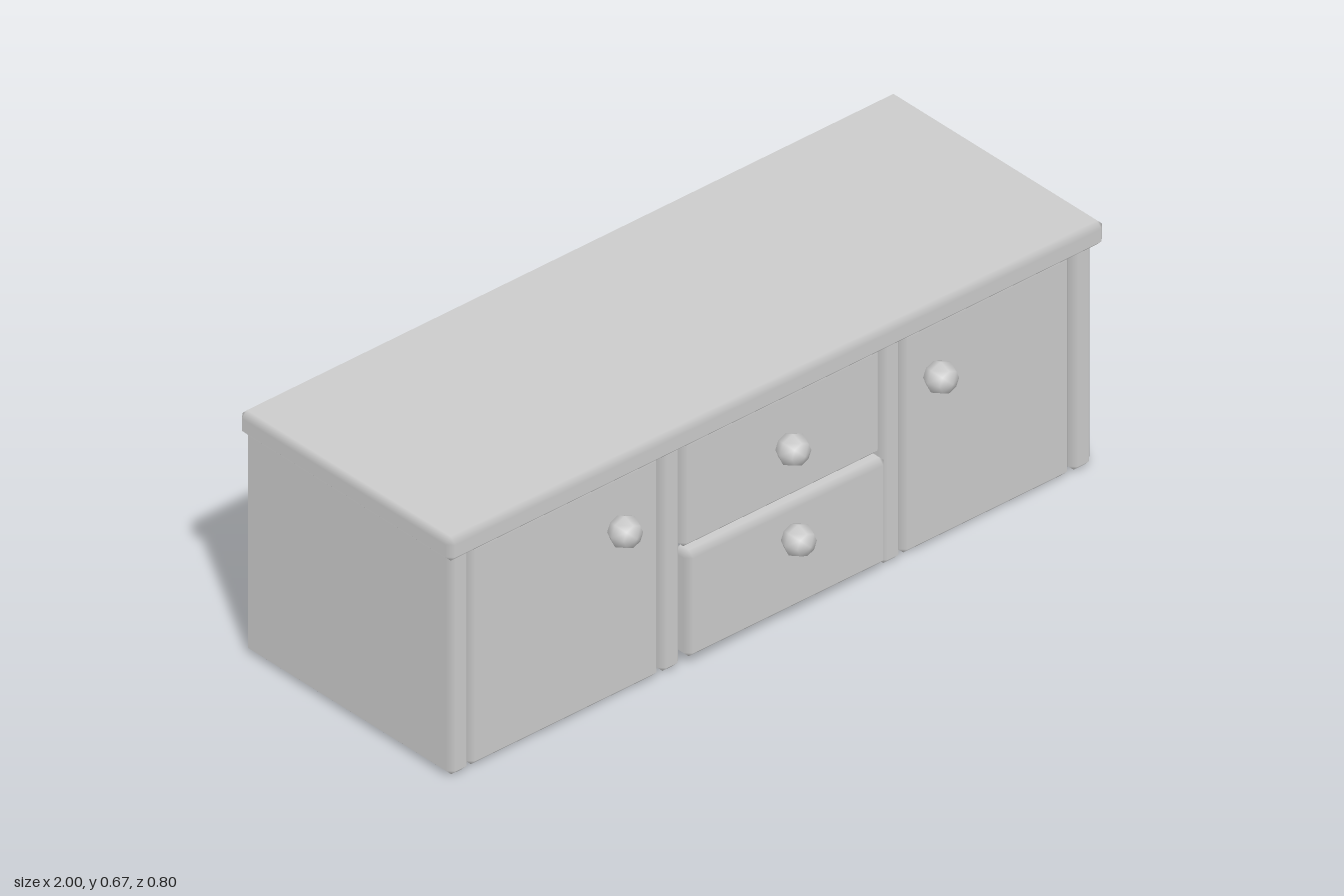
import * as THREE from 'three';
import { ConvexGeometry } from 'three/addons/geometries/ConvexGeometry.js';

const material = new THREE.MeshStandardMaterial({ color: 0xcccccc });
const BEVEL = 0.016;

// Chamfered box given by its min/max on each axis; flat faces with softly shaded bevels
function bevelBox(name, [x0, x1], [y0, y1], [z0, z1]) {
  const half = [(x1 - x0) / 2, (y1 - y0) / 2, (z1 - z0) / 2];
  const points = [];
  for (let axis = 0; axis < 3; axis++)
    for (const sx of [-1, 1]) for (const sy of [-1, 1]) for (const sz of [-1, 1]) {
      const p = [sx, sy, sz].map((s, i) => s * (half[i] - (i === axis ? 0 : BEVEL)));
      points.push(new THREE.Vector3(...p));
    }
  const geometry = new ConvexGeometry(points);

  // Each corner takes the normal of the flat face it lies on
  const pos = geometry.attributes.position;
  const normal = geometry.attributes.normal;
  for (let i = 0; i < pos.count; i++) {
    const n = half.map((h, k) => {
      const c = pos.getComponent(i, k);
      return Math.abs(c) > h - BEVEL / 2 ? Math.sign(c) : 0;
    });
    normal.setXYZ(i, ...n);
  }

  const mesh = new THREE.Mesh(geometry, material);
  mesh.name = name;
  mesh.position.set((x0 + x1) / 2, (y0 + y1) / 2, (z0 + z1) / 2);
  return mesh;
}

// Low-sided round knob with its pole facing forward
function knob(name, x, y, z) {
  const geometry = new THREE.SphereGeometry(0.042, 8, 4).rotateX(Math.PI / 2);
  const mesh = new THREE.Mesh(geometry, material);
  mesh.name = name;
  mesh.position.set(x, y, z);
  return mesh;
}

export function createModel() {
  const group = new THREE.Group();
  group.name = 'sideboard';

  // Worktop
  group.add(bevelBox('top', [-1, 1], [0.6, 0.666], [-0.397, 0.333]));

  // Upright side panels and dividers
  const uprights = [
    ['rightSide', -0.95], ['rightDivider', -0.307],
    ['leftDivider', 0.365], ['leftSide', 0.945],
  ];
  for (const [name, x] of uprights)
    group.add(bevelBox(name, [x - 0.032, x + 0.032], [0, 0.612], [-0.397, 0.315]));

  // Doors and drawer fronts: name, x range, y range, front z, knob x, knob y
  const fronts = [
    ['rightDoor', [-0.921, -0.338], [0, 0.607], 0.313, -0.472, 0.465],
    ['leftDoor', [0.396, 0.912], [0, 0.607], 0.313, 0.49, 0.465],
    ['upperDrawer', [-0.274, 0.336], [0.311, 0.607], 0.313, 0.04, 0.465],
    ['lowerDrawer', [-0.274, 0.336], [0.02, 0.311], 0.332, 0.04, 0.227],
  ];
  for (const [name, xs, ys, z, kx, ky] of fronts) {
    group.add(bevelBox(name, xs, ys, [z - 0.06, z]));
    group.add(knob(name + 'Knob', kx, ky, z + 0.025));
  }
  return group;
}
